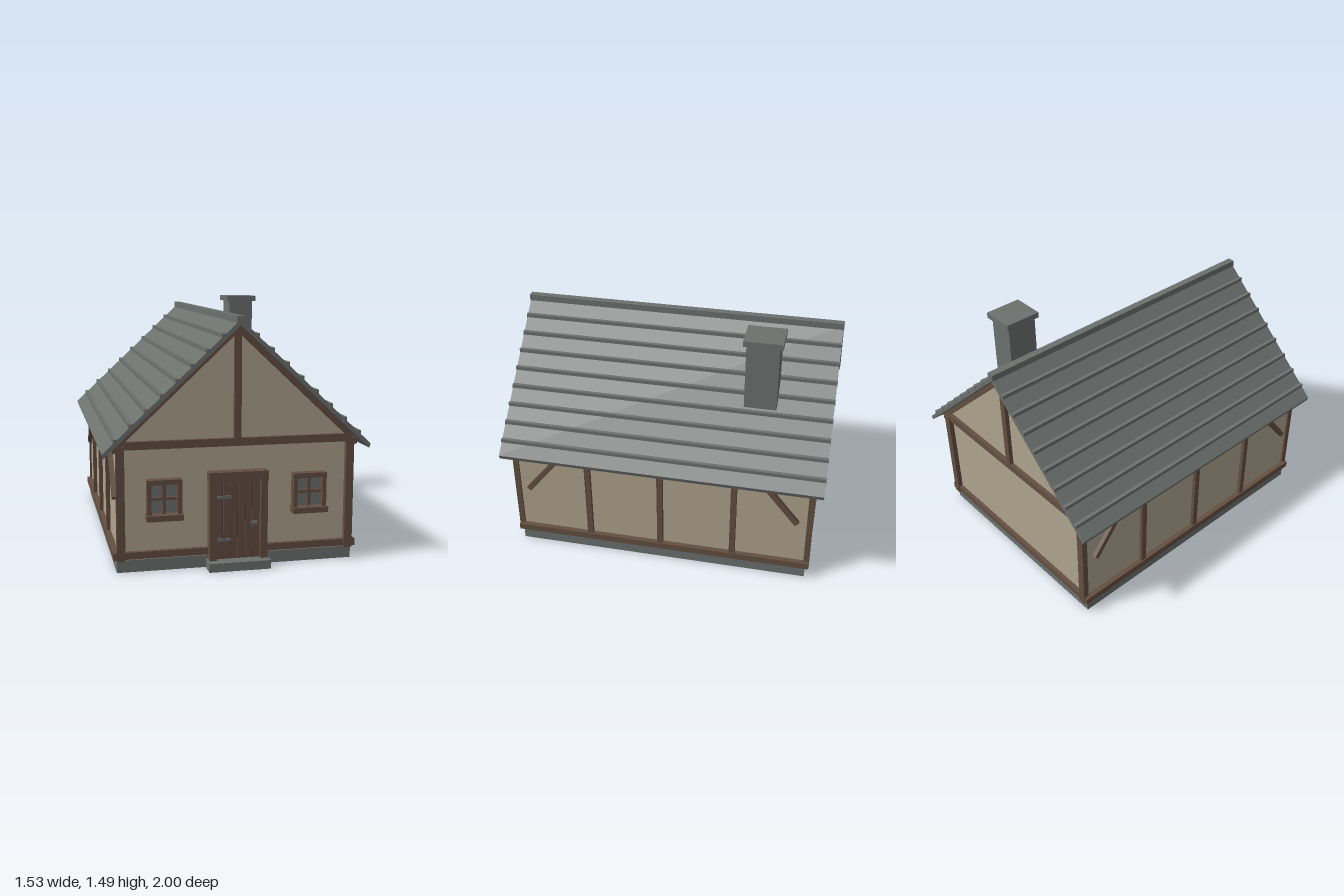
import * as THREE from 'three';

export function createModel() {
  const mat = (name, color) => {
    const m = new THREE.MeshStandardMaterial({ color });
    m.name = name;
    return m;
  };
  const plaster = mat('plaster', 0xb0a48e);
  const timber = mat('timber', 0x644f41);
  const slate = mat('slate', 0x6c716e);
  const gap = mat('darkGap', 0x3a2d25);

  const house = new THREE.Group();
  house.name = 'house';
  house.position.z = -0.0135;

  const group = (name, parent = house) => {
    const g = new THREE.Group();
    g.name = name;
    parent.add(g);
    return g;
  };
  const add = (parent, name, geo, m) => {
    const mesh = new THREE.Mesh(geo, m);
    mesh.name = name;
    parent.add(mesh);
    return mesh;
  };
  // box given by its limits on each axis
  const box = (parent, name, m, [x0, x1], [y0, y1], [z0, z1]) => {
    const mesh = add(parent, name, new THREE.BoxGeometry(x1 - x0, y1 - y0, z1 - z0), m);
    mesh.position.set((x0 + x1) / 2, (y0 + y1) / 2, (z0 + z1) / 2);
    return mesh;
  };
  // outline in x, y pushed from z0 to z1
  const prism = (parent, name, m, pts, z0, z1) => {
    const shape = new THREE.Shape(pts.map(([x, y]) => new THREE.Vector2(x, y)));
    const geo = new THREE.ExtrudeGeometry(shape, { depth: z1 - z0, bevelEnabled: false });
    geo.translate(0, 0, z0);
    return add(parent, name, geo, m);
  };
  const span = (a, b, s) => (s > 0 ? [a, b] : [-b, -a]);

  // base and walls
  box(house, 'plinth', slate, [-0.687, 0.687], [0, 0.07], [-0.911, 0.911]);
  box(house, 'doorStep', slate, [-0.18, 0.176], [0, 0.05], [0.9, 1.0135]);
  prism(house, 'walls', plaster,
    [[-0.675, 0.07], [0.675, 0.07], [0.675, 0.742], [0, 1.372], [-0.675, 0.742]], -0.905, 0.905);

  // timber frame of the gable ends
  for (const e of [1, -1]) {
    const end = group(e > 0 ? 'frontFrame' : 'backFrame');
    const z = span(0.895, 0.93, e);
    box(end, 'tieBeam', timber, [-0.685, 0.685], [0.7, 0.745], z);
    box(end, 'sillBeam', timber, [-0.645, 0.645], [0.08, 0.12], z);
    box(end, 'kingPost', timber, [-0.02, 0.02], [0.745, 1.35], z);
    for (const s of [1, -1]) {
      box(end, 'cornerPost', timber, span(0.64, 0.687, s), [0.07, 0.72], span(0.9, 0.935, e));
      prism(end, 'rafter', timber,
        [[0, 1.378], [s * 0.678, 0.745], [s * 0.635, 0.745], [0, 1.338]], z[0], z[1]);
    }
  }

  // timber frame of the long sides
  for (const s of [1, -1]) {
    const side = group(s > 0 ? 'leftFrame' : 'rightFrame');
    box(side, 'sillBeam', timber, span(0.66, 0.706, s), [0.078, 0.12], [-0.932, 0.932]);
    box(side, 'topPlate', timber, span(0.66, 0.704, s), [0.685, 0.722], [-0.932, 0.932]);
    for (const z of [-0.455, 0, 0.455])
      box(side, 'post', timber, span(0.665, 0.698, s), [0.12, 0.69], [z - 0.018, z + 0.018]);
    for (const e of [1, -1]) {
      const brace = box(side, 'brace', timber, span(0.665, 0.702, s), [-0.18, 0.18], [-0.016, 0.016]);
      brace.position.y = 0.553;
      brace.position.z = e * 0.728;
      brace.rotation.x = -e * 0.68;
    }
  }

  // roof with raised courses and ridge cap
  const roof = group('roof');
  const surface = (x) => 1.409 - 0.934 * x;
  for (const s of [1, -1]) {
    prism(roof, 'roofSlope', slate,
      [[0, 1.409], [s * 0.766, 0.694], [s * 0.758, 0.669], [0, 1.377]], -0.985, 0.985);
    for (let i = 0; i < 8; i++) {
      const x = 0.095 + i * 0.0855;
      const y = surface(x) + 0.012;
      box(roof, 'course', slate, span(x - 0.011, x + 0.011, s), [y - 0.03, y], [-0.987, 0.987]);
    }
  }
  box(roof, 'ridgeCap', slate, [-0.022, 0.022], [1.385, 1.427], [-0.9885, 0.9885]);

  // chimney
  const chimney = group('chimney');
  box(chimney, 'stack', slate, [0.28, 0.442], [1.036, 1.452], [-0.652, -0.459]);
  box(chimney, 'cap', slate, [0.26, 0.464], [1.45, 1.485], [-0.672, -0.442]);

  // door
  const door = group('door');
  box(door, 'backing', gap, [-0.132, 0.132], [0.05, 0.512], [0.9, 0.93]);
  for (let i = 0; i < 6; i++) {
    const x = -0.13 + i * 0.0433;
    box(door, 'plank', timber, [x + 0.002, x + 0.0413], [0.05, 0.512], [0.92, 0.938]);
  }
  for (const s of [1, -1])
    box(door, 'jamb', timber, span(0.128, 0.168, s), [0.05, 0.512], [0.9, 0.965]);
  box(door, 'lintel', timber, [-0.172, 0.17], [0.51, 0.56], [0.9, 0.97]);
  for (const y of [0.163, 0.411])
    box(door, 'hinge', slate, [-0.13, -0.04], [y - 0.008, y + 0.008], [0.936, 0.944]);
  box(door, 'handle', slate, [0.076, 0.11], [0.25, 0.264], [0.936, 0.956]);

  // windows
  for (const s of [1, -1]) {
    const win = group(s > 0 ? 'leftWindow' : 'rightWindow');
    win.position.x = s * 0.42;
    box(win, 'glass', slate, [-0.08, 0.08], [0.33, 0.51], [0.906, 0.914]);
    for (const k of [1, -1])
      box(win, 'frameSide', timber, span(0.074, 0.098, k), [0.325, 0.505], [0.9, 0.955]);
    box(win, 'frameTop', timber, [-0.098, 0.098], [0.502, 0.53], [0.9, 0.955]);
    box(win, 'sill', timber, [-0.104, 0.104], [0.3, 0.333], [0.9, 0.975]);
    box(win, 'uprightBar', timber, [-0.009, 0.009], [0.33, 0.505], [0.9, 0.935]);
    box(win, 'crossBar', timber, [-0.075, 0.075], [0.41, 0.426], [0.9, 0.932]);
  }

  const model = new THREE.Group();
  model.name = 'cottage';
  model.add(house);
  return model;
}
